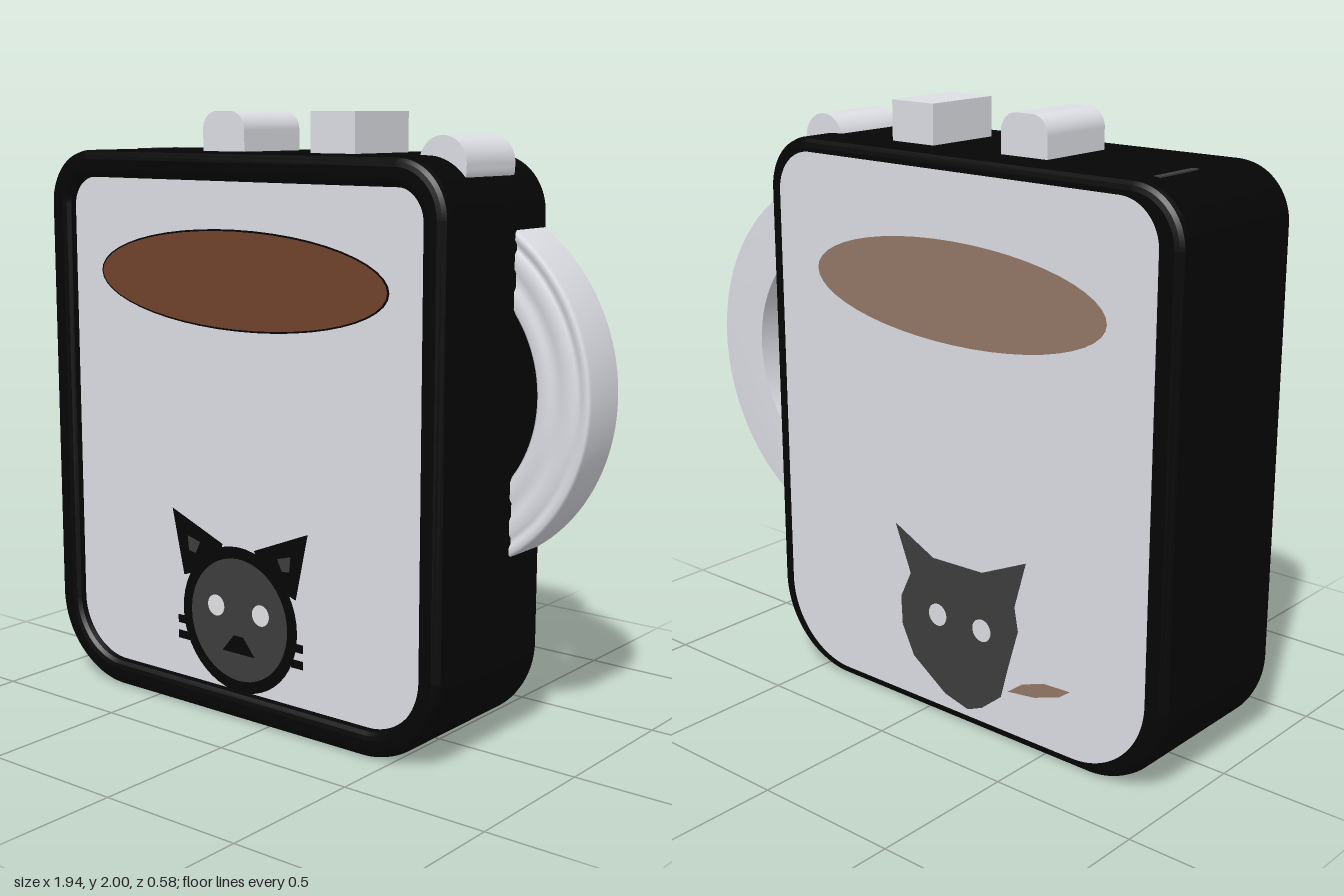
import * as THREE from 'three';

const mat = (name, color) => {
  const m = new THREE.MeshStandardMaterial({ color });
  m.name = name;
  return m;
};

// Rounded rectangle with separate bottom and top corner radii
function roundedRect(x0, y0, x1, y1, rBottom, rTop, target = new THREE.Shape()) {
  target.absarc(x1 - rBottom, y0 + rBottom, rBottom, -Math.PI / 2, 0);
  target.absarc(x1 - rTop, y1 - rTop, rTop, 0, Math.PI / 2);
  target.absarc(x0 + rTop, y1 - rTop, rTop, Math.PI / 2, Math.PI);
  target.absarc(x0 + rBottom, y0 + rBottom, rBottom, Math.PI, Math.PI * 1.5);
  target.closePath();
  return target;
}

const ellipse = (x, y, rx, ry = rx) => new THREE.Shape().absellipse(x, y, rx, ry, 0, Math.PI * 2);
const polygon = (points) => new THREE.Shape(points.map(([x, y]) => new THREE.Vector2(x, y)));
const rect = (x0, y0, x1, y1) => polygon([[x0, y0], [x1, y0], [x1, y1], [x0, y1]]);

export function createModel() {
  const group = new THREE.Group();
  const black = mat('black', 0x050505);
  const grey = mat('pale grey', 0xdddee4);
  const white = mat('eye white', 0xf4f4f8);
  const brown = mat('coffee brown', 0x70432b);
  const dullBrown = mat('dull brown', 0x937866);
  const charcoal = mat('charcoal', 0x3d3d3d);

  const add = (name, geometry, material) => {
    const mesh = new THREE.Mesh(geometry, material);
    mesh.name = name;
    group.add(mesh);
    return mesh;
  };
  const extrude = (shape, depth, bevel = 0) => new THREE.ExtrudeGeometry(shape, {
    depth, bevelEnabled: bevel > 0, bevelSize: bevel, bevelThickness: bevel,
    bevelOffset: -bevel, bevelSegments: 3, curveSegments: 24,
  });

  // Thin painted plates, stacked in layers on the recessed front or on the back
  const frontFace = 0.25, backFace = -0.285, step = 0.0018;
  const plate = (name, shape, material, layer, back = false) => {
    const depth = step * layer;
    add(name, extrude(shape, depth), material).position.z = back ? backFace - depth : frontFace;
  };

  // Body: a raised rim around a core whose front is set back
  const rimShape = roundedRect(-0.97, 0, 0.69, 1.87, 0.3, 0.18);
  rimShape.holes.push(roundedRect(-0.875, 0.09, 0.6, 1.78, 0.2, 0.1, new THREE.Path()));
  add('rim', extrude(rimShape, 0.51, 0.03), black).position.z = -0.255;
  const core = extrude(roundedRect(-0.935, 0.035, 0.655, 1.835, 0.265, 0.145), frontFace - backFace);
  add('core', core, black).position.z = backFace;

  // Faint scuff on the top
  add('scuff', new THREE.BoxGeometry(0.022, 0.006, 0.19), charcoal).position.set(-0.81, 1.8685, -0.095);

  // Front panel and drink
  plate('frontPanel', roundedRect(-0.88, 0.085, 0.605, 1.785, 0.2, 0.1), grey, 1);
  plate('drinkOutline', ellipse(-0.14, 1.465, 0.61, 0.163), black, 2);
  plate('drink', ellipse(-0.14, 1.465, 0.603, 0.157), brown, 3);

  // Cat on the front
  const cx = -0.14;
  plate('catHeadOutline', ellipse(cx, 0.335, 0.25), black, 2);
  plate('catFace', ellipse(cx, 0.335, 0.21), charcoal, 3);
  plate('catNose', polygon([[cx - 0.07, 0.22], [cx + 0.07, 0.22], [cx + 0.02, 0.28], [cx - 0.02, 0.28]]), black, 4);
  for (const s of [-1, 1]) {
    const mirrored = (points) => polygon(points.map(([x, y]) => [cx + s * x, y]));
    plate('catEar', mirrored([[0.295, 0.675], [0.245, 0.45], [0.1, 0.5], [0.07, 0.585]]), black, 2);
    plate('catInnerEar', mirrored([[0.225, 0.59], [0.22, 0.54], [0.19, 0.535], [0.17, 0.575]]), charcoal, 3);
    plate('catEye', ellipse(cx + s * 0.098, 0.37, 0.036), white, 4);
    for (const y of [0.235, 0.29]) {
      plate('catWhisker', rect(cx + s * 0.25 - 0.025, y - 0.014, cx + s * 0.25 + 0.025, y + 0.014), black, 2);
    }
  }

  // Back panel with its simpler drink and cat
  plate('backPanel', roundedRect(-0.89, 0.035, 0.635, 1.825, 0.27, 0.14), grey, 1, true);
  plate('backDrink', ellipse(-0.13, 1.45, 0.59, 0.163), dullBrown, 2, true);
  plate('backCat', polygon([
    [0.125, 0.635], [-0.04, 0.555], [-0.25, 0.56], [-0.43, 0.64], [-0.385, 0.48], [-0.4, 0.4], [-0.365, 0.28],
    [-0.33, 0.15], [-0.25, 0.085], [-0.19, 0.06], [-0.09, 0.085], [0.05, 0.18], [0.1, 0.28], [0.105, 0.38],
    [0.06, 0.475],
  ]), charcoal, 2, true);
  for (const s of [-1, 1]) {
    plate('backCatEye', ellipse(cx - 0.015 + s * 0.095, 0.36, 0.038), grey, 3, true);
  }
  plate('backSpot', polygon([
    [-0.36, 0.18], [-0.42, 0.225], [-0.51, 0.255], [-0.61, 0.26], [-0.57, 0.23], [-0.47, 0.195],
  ]), dullBrown, 2, true);

  // Handle: ring arc with shallow grooves on its front, its ends inside the body
  const ringProfile = [
    [0.425, -0.09], [0.425, 0.08], [0.435, 0.09], [0.47, 0.09], [0.48, 0.08], [0.51, 0.08],
    [0.52, 0.09], [0.555, 0.09], [0.565, 0.08], [0.58, 0.08], [0.59, 0.09], [0.608, 0.09],
    [0.615, 0.08], [0.615, -0.08], [0.608, -0.09], [0.425, -0.09],
  ].map(([r, h]) => new THREE.Vector2(r, h)).reverse();
  const ring = new THREE.LatheGeometry(ringProfile, 64, 0, Math.PI);
  ring.rotateX(Math.PI / 2);
  const handleMaterial = mat('handle grey', 0xdddee4);
  handleMaterial.side = THREE.DoubleSide;
  add('handle', ring, handleMaterial).position.set(0.35, 1.132, -0.18);

  // Three buttons along the top
  const button = (name, shape, z0, z1) => {
    add(name, extrude(shape, z1 - z0), grey).position.z = z0;
  };
  button('roundedButton', roundedRect(-0.387, 1.8, -0.207, 2, 0.01, 0.06), -0.15, 0.13);
  button('squareButton', rect(0.07, 1.8, 0.245, 2), -0.15, 0.13);
  button('domeButton', roundedRect(0.48, 1.75, 0.65, 1.93, 0.08, 0.084), -0.145, 0.12);

  return group;
}
